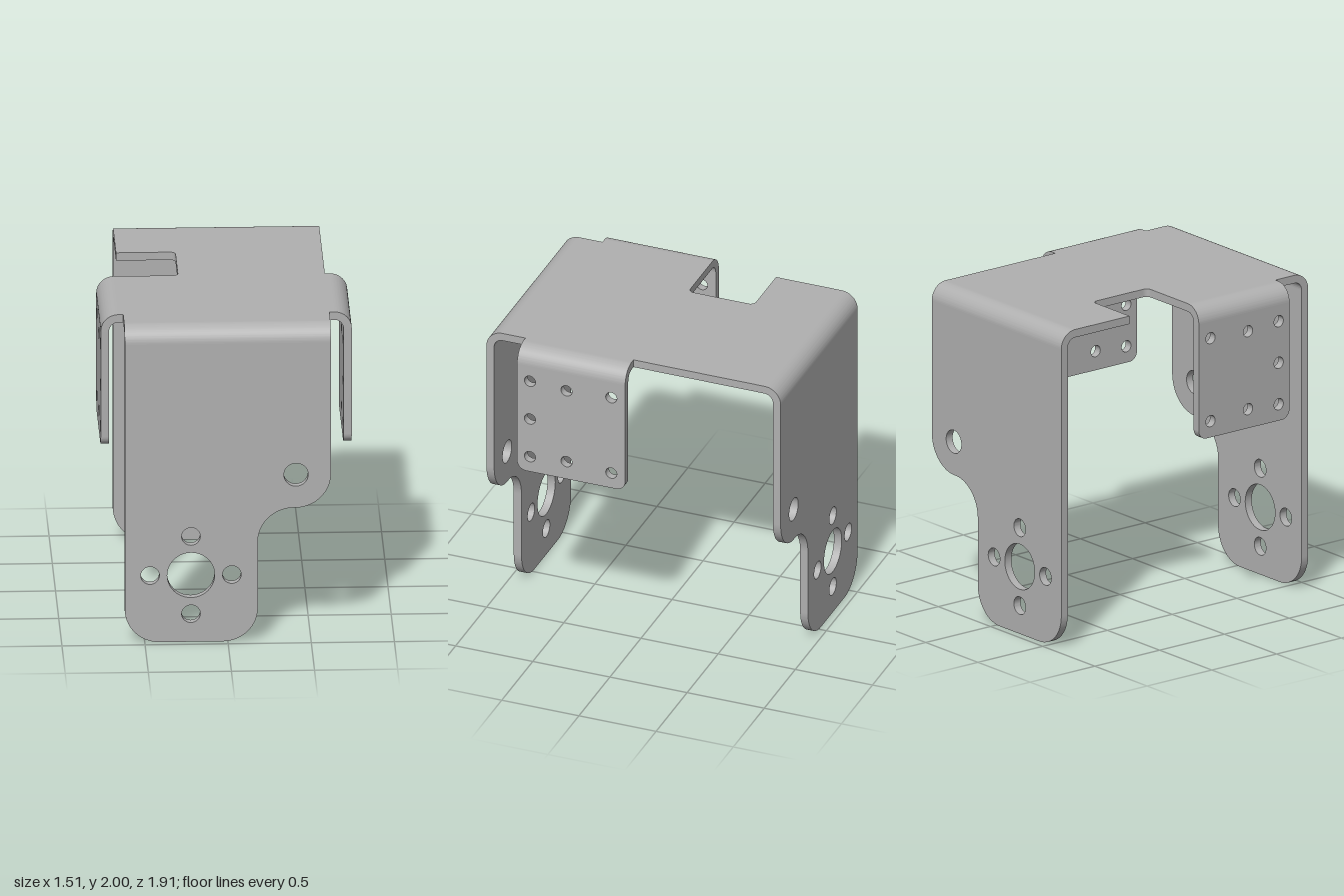
import * as THREE from 'three';
import { toCreasedNormals } from 'three/addons/utils/BufferGeometryUtils.js';

const T = 0.05;          // sheet thickness
const R = 0.105;         // outer bend radius
const W = 0.62;          // half width of the body
const X = 0.755;         // outer face of the side tabs
const Z = 0.953;         // outer face of the front and back plates
const TAB = 0.7;         // length of the side tabs along z

export function createModel() {
  const group = new THREE.Group();
  group.name = 'bracket';
  const metal = new THREE.MeshStandardMaterial({ color: 0xb0b0b0 });
  metal.name = 'grey metal';

  const add = (name, shape, depth) => {
    const geo = new THREE.ExtrudeGeometry(shape, { depth, bevelEnabled: false, curveSegments: 20 });
    const mesh = new THREE.Mesh(toCreasedNormals(geo, 0.6), metal);
    mesh.name = name;
    group.add(mesh);
    return mesh;
  };
  const hole = (shape, x, y, r) => {
    const path = new THREE.Path();
    path.absarc(x, y, r, 0, Math.PI * 2, true);
    shape.holes.push(path);
  };
  // quarter ring: from +x round to +y
  const bendShape = () => {
    const s = new THREE.Shape();
    s.absarc(0, 0, R, 0, Math.PI / 2, false);
    s.absarc(0, 0, R - T, Math.PI / 2, 0, true);
    s.closePath();
    return s;
  };
  const H = Math.PI / 2;

  // top plate with a notch (shape y becomes -z)
  const top = new THREE.Shape();
  const zb = Z - R, n = 0.035;
  top.moveTo(-W, -zb);
  top.lineTo(W, -zb);
  top.lineTo(W, zb);
  top.lineTo(-W, zb);
  top.lineTo(-W, 0.425);
  top.lineTo(-0.263 - n, 0.425);
  top.absarc(-0.263 - n, 0.425 - n, n, H, 0, true);
  top.absarc(-0.263 - n, n, n, 0, -H, true);
  top.lineTo(-W, 0);
  top.closePath();
  const topMesh = add('topPlate', top, T);
  topMesh.rotation.x = -H;
  topMesh.position.y = 2 - T;

  // front and back plates with stepped, rounded legs
  const c = 0.21, s = 0.215;
  const leg = new THREE.Shape();
  leg.moveTo(-W, 2 - R);
  leg.lineTo(-W, c);
  leg.absarc(-W + c, c, c, Math.PI, Math.PI * 1.5, false);
  leg.absarc(0.18 - c, c, c, -H, 0, false);
  leg.absarc(0.18 + s, 0.63, s, Math.PI, H, true);
  leg.absarc(W - s, 0.845 + s, s, -H, 0, false);
  leg.lineTo(W, 2 - R);
  leg.closePath();
  hole(leg, 0.41, 1.055, 0.073);
  hole(leg, -0.222, 0.424, 0.143);
  for (const [dx, dy] of [[1, 0], [-1, 0], [0, 1], [0, -1]])
    hole(leg, -0.222 + dx * 0.246, 0.424 + dy * 0.246, 0.056);
  add('frontPlate', leg, T).position.z = Z - T;
  add('backPlate', leg, T).position.z = -Z;

  // bends joining the top to the front and back plates
  for (const side of [1, -1]) {
    const bend = add(side > 0 ? 'frontBend' : 'backBend', bendShape(), 2 * W);
    bend.rotation.y = -side * H;
    bend.position.set(side * W, 2 - R, side * (Z - R));
  }

  // side tabs with rounded lower corners and screw holes (shape x is z)
  const tab = new THREE.Shape();
  const k = 0.06, low = 1.163;
  tab.moveTo(0, 2 - R);
  tab.lineTo(0, low + k);
  tab.absarc(k, low + k, k, Math.PI, Math.PI * 1.5, false);
  tab.absarc(TAB - k, low + k, k, -H, 0, false);
  tab.lineTo(TAB, 2 - R);
  tab.closePath();
  for (const [z, y] of [[0.617, 1.79], [0.617, 1.528], [0.617, 1.266], [0.38, 1.775], [0.38, 1.283], [0.09, 1.79], [0.09, 1.266]])
    hole(tab, z, y, 0.036);

  for (const side of [1, -1]) {
    const name = side > 0 ? 'left' : 'right';
    const plate = add(name + 'Tab', tab, T);
    plate.rotation.y = -H;
    plate.position.x = side > 0 ? X : -X + T;

    // bend from the top to the tab
    const bend = add(name + 'TabBend', bendShape(), TAB);
    if (side < 0) bend.rotation.y = Math.PI;
    bend.position.set(side * (X - R), 2 - R, side > 0 ? 0 : TAB);

    // short flat neck beside the top plate
    const neck = new THREE.Mesh(new THREE.BoxGeometry(X - R - W, T, TAB), metal);
    neck.name = name + 'TabNeck';
    neck.position.set(side * (X - R + W) / 2, 2 - T / 2, TAB / 2);
    group.add(neck);
  }
  return group;
}
